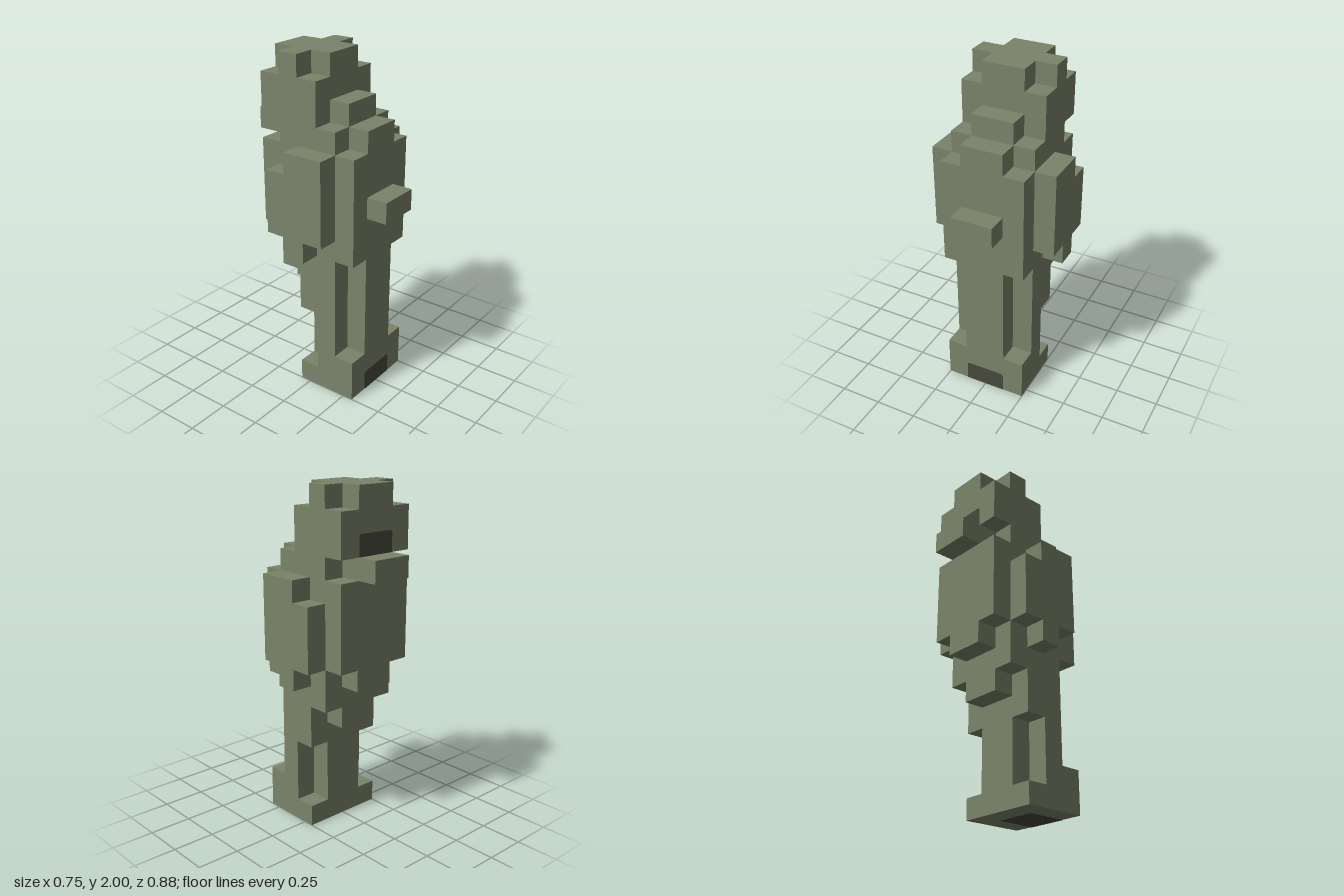
import * as THREE from 'three';

const U = 0.125; // one block unit

const olive = new THREE.MeshStandardMaterial({ color: 0x7b836a });
olive.name = 'olive';
const dark = new THREE.MeshStandardMaterial({ color: 0x48493d });
dark.name = 'darkOlive';

function add(parent, name, geometry, material) {
  const mesh = new THREE.Mesh(geometry, material);
  mesh.name = name;
  parent.add(mesh);
  return mesh;
}

// Block given by its minimum and maximum corners in units
function block(parent, name, [x0, y0, z0], [x1, y1, z1]) {
  const geometry = new THREE.BoxGeometry((x1 - x0) * U, (y1 - y0) * U, (z1 - z0) * U);
  geometry.translate((x0 + x1) / 2 * U, (y0 + y1) / 2 * U, (z0 + z1) / 2 * U);
  return add(parent, name, geometry, olive);
}

// Horizontal slab four units wide, with optional one-unit corner notches
function slab(parent, name, y0, y1, back, front, notchBack, notchFront) {
  const half = [];
  if (notchFront) half.push([1, front], [1, front - 1], [2, front - 1]);
  else half.push([2, front]);
  if (notchBack) half.push([2, back + 1], [1, back + 1], [1, back]);
  else half.push([2, back]);
  const mirrored = half.map(([x, z]) => [-x, z]).reverse();
  const outline = [...half, ...mirrored].map(([x, z]) => new THREE.Vector2(x * U, -z * U));
  const geometry = new THREE.ExtrudeGeometry(new THREE.Shape(outline), {
    depth: (y1 - y0) * U, bevelEnabled: false,
  });
  geometry.rotateX(-Math.PI / 2).translate(0, y0 * U, 0);
  add(parent, name, geometry, olive);
}

// Flat two-unit-wide panel with two rounded corners at its upper end
function panelGeometry(height) {
  const w = U * 0.98, h = height * U * 0.98, r = 0.02;
  const s = new THREE.Shape();
  s.moveTo(-w, 0);
  s.lineTo(w, 0);
  s.lineTo(w, h - r);
  s.quadraticCurveTo(w, h, w - r, h);
  s.lineTo(r - w, h);
  s.quadraticCurveTo(-w, h, -w, h - r);
  return new THREE.ShapeGeometry(s, 4);
}

export function createModel() {
  const model = new THREE.Group();
  model.name = 'blockFigure';

  // Lower body, torso and head: y0, y1, back, front, notchBack, notchFront
  const layers = [
    ['base', 0, 1, -0.5, 2.5, 0, 0],
    ['baseRim', 1, 2, -0.5, 2.5, 1, 0],
    ['lowerColumn', 2, 4, -0.5, 2.5, 1, 1],
    ['middleColumn', 4, 5, -0.5, 2.5, 0, 1],
    ['hipUnderside', 5, 6, -1.5, 2.5, 1, 1],
    ['hip', 6, 7, -1.5, 2.5, 0, 1],
    ['waist', 7, 8, -2.5, 2.5, 1, 0],
    ['torso', 8, 12, -2.5, 2.5, 0, 0],
    ['shoulders', 12, 13, -2.5, 2.5, 1, 1],
    ['head', 13, 15, -2.5, 0.5, 0, 0],
    ['crown', 15, 16, -2.5, 0.5, 1, 1],
  ];
  for (const layer of layers) slab(model, ...layer);

  // Projecting blocks
  block(model, 'chestStep', [-1, 13, 0.5], [1, 14, 1.5]);
  block(model, 'frontPeg', [-1, 9, 2.5], [1, 10, 3.5]);
  block(model, 'backLedge', [-1, 12, -3.5], [1, 13, -2.5]);

  // Side plates, extruded outward from their side profile
  const profile = [[1.5, 8], [1.5, 12], [-0.5, 12], [-0.5, 11], [-1.5, 11],
    [-1.5, 8], [-0.5, 8], [-0.5, 7], [0.5, 7], [0.5, 8]];
  for (const [name, x] of [['leftArm', 2], ['rightArm', -3]]) {
    const shape = new THREE.Shape(profile.map(([z, y]) => new THREE.Vector2(-z * U, y * U)));
    const geometry = new THREE.ExtrudeGeometry(shape, { depth: U, bevelEnabled: false });
    geometry.rotateY(Math.PI / 2).translate(x * U, 0, 0);
    add(model, name, geometry, olive);
  }

  // Dark panels
  const gap = 0.002;
  add(model, 'frontPanel', panelGeometry(1).translate(0, 0, 2.5 * U + gap), dark);
  add(model, 'backPanel',
    panelGeometry(1).rotateY(Math.PI).translate(0, 13 * U, -2.5 * U - gap), dark);
  add(model, 'bottomPanel',
    panelGeometry(2).rotateZ(Math.PI).rotateX(Math.PI / 2).translate(0, -gap, 2.5 * U), dark);

  return model;
}
